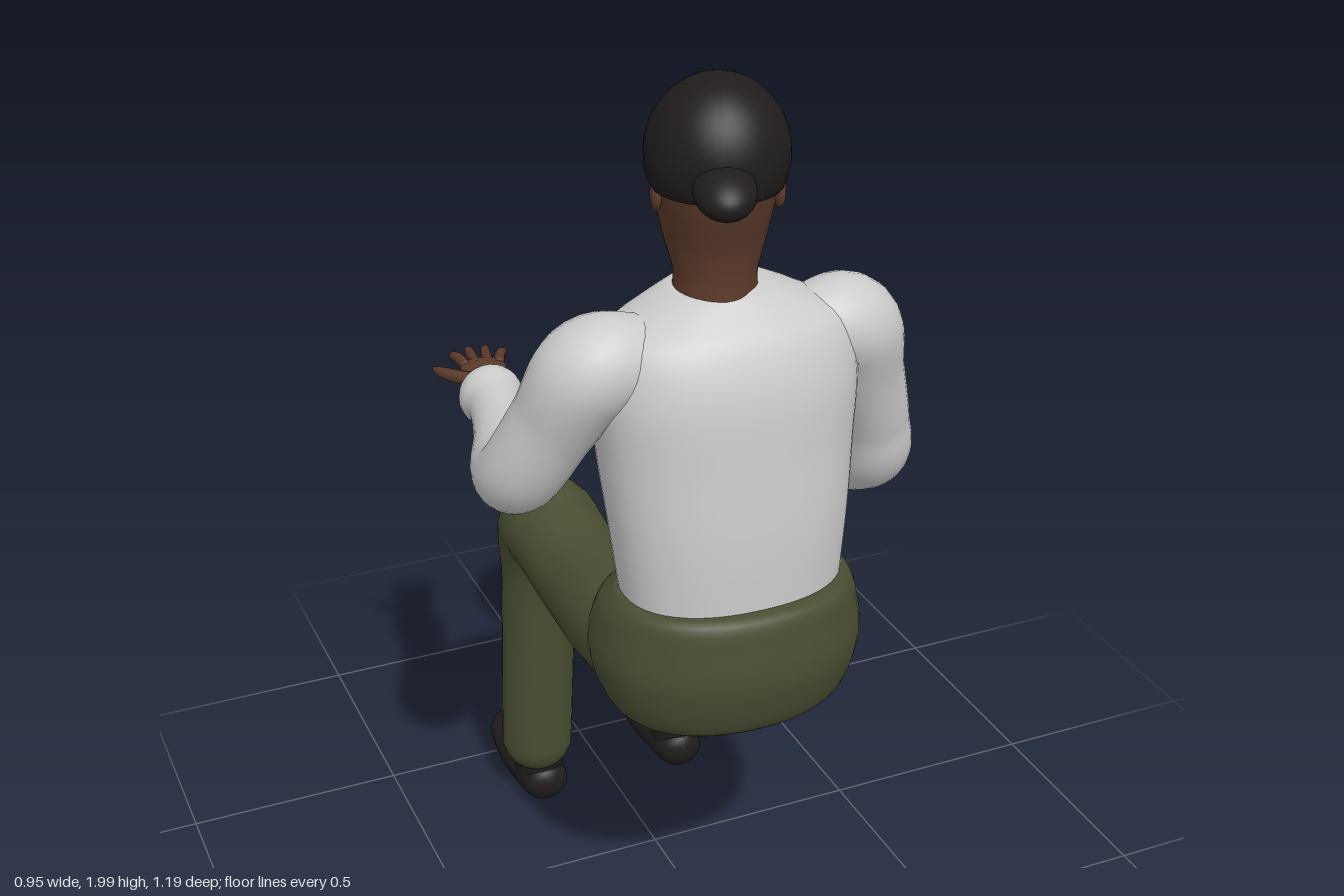
import * as THREE from 'three';

const mat = (color) => new THREE.MeshStandardMaterial({ color });
const V = (x, y, z) => new THREE.Vector3(x, y, z);
const AXES = { y: [V(0, 0, 1), V(1, 0, 0)], z: [V(0, 1, 0), V(1, 0, 0)] };

// Smooth body through sections [x, y, z, ru, rv]; rings follow the path,
// or stay level ('y') or upright ('z') when an axis is given.
function loft(sections, axis, steps = 40, sides = 28, square = 1) {
  const spline = (pts) => new THREE.CatmullRomCurve3(pts, false, 'catmullrom', 0.5);
  const path = spline(sections.map((s) => V(s[0], s[1], s[2])));
  const radii = spline(sections.map((s) => V(s[3], s[4] ?? s[3], 0)));
  const frames = path.computeFrenetFrames(steps, false);
  const pos = [], idx = [];
  const bend = (c) => Math.sign(c) * Math.pow(Math.abs(c), square);
  const ring = (i, k) => {
    const c = path.getPointAt(i / steps);
    const r = radii.getPoint(path.getUtoTmapping(i / steps));
    const [u, v] = axis ? AXES[axis] : [frames.normals[i], frames.binormals[i]];
    for (let j = 0; j < sides; j++) {
      const a = (j / sides) * Math.PI * 2;
      const p = c.clone().addScaledVector(u, bend(Math.cos(a)) * r.x * k).addScaledVector(v, bend(Math.sin(a)) * r.y * k);
      pos.push(p.x, p.y, p.z);
    }
  };
  ring(0, 0.001);
  for (let i = 0; i <= steps; i++) ring(i, 1);
  ring(steps, 0.001);
  for (let i = 0; i < steps + 2; i++) {
    for (let j = 0; j < sides; j++) {
      const a = i * sides + j, b = i * sides + ((j + 1) % sides);
      idx.push(a, b, a + sides, b, b + sides, a + sides);
    }
  }
  const g = new THREE.BufferGeometry();
  g.setAttribute('position', new THREE.Float32BufferAttribute(pos, 3));
  g.setIndex(idx);
  g.computeVertexNormals();
  return g;
}

function add(parent, name, geometry, material) {
  const m = new THREE.Mesh(geometry, material);
  m.name = name;
  parent.add(m);
  return m;
}

function ellipsoid(parent, name, material, [x, y, z], [rx, ry, rz]) {
  const m = add(parent, name, new THREE.SphereGeometry(1, 28, 20), material);
  m.position.set(x, y, z);
  m.scale.set(rx, ry, rz);
  return m;
}

// Flat open hand pointing along -z; side is the thumb's direction in x
function makeHand(name, side, skin) {
  const hand = new THREE.Group();
  hand.name = name;
  add(hand, 'palm', loft([
    [0, 0, 0.04, 0.024, 0.03], [0, 0, -0.01, 0.02, 0.032], [0, 0, -0.06, 0.017, 0.046],
    [0, 0, -0.11, 0.014, 0.052], [0, 0, -0.145, 0.01, 0.046],
  ], 'z', 16, 18), skin);
  for (let i = 0; i < 4; i++) {
    const s = i - 1.5;
    const tip = -0.235 + 0.012 * s * s;
    add(hand, 'finger', loft([
      [s * 0.024, 0, -0.12, 0.013], [s * 0.032, -0.002, -0.18, 0.012],
      [s * 0.038, -0.004, tip + 0.01, 0.01], [s * 0.039, -0.004, tip, 0.004],
    ], null, 10, 10), skin);
  }
  add(hand, 'thumb', loft([
    [side * 0.02, 0, -0.04, 0.016], [side * 0.065, 0, -0.075, 0.015],
    [side * 0.095, 0, -0.105, 0.012], [side * 0.108, 0, -0.125, 0.005],
  ], null, 12, 10), skin);
  hand.rotation.order = 'YXZ';
  return hand;
}

// Hair cap with a hairline that rises over the forehead (-z)
function hairCap() {
  const rows = 24;
  const g = new THREE.SphereGeometry(1, 48, rows);
  const p = g.attributes.position, uv = g.attributes.uv;
  for (let i = 0; i < p.count; i++) {
    const phi = uv.getX(i) * Math.PI * 2;
    const row = Math.floor(i / 49);
    const front = -Math.cos(phi);
    const limit = 2.0 - 0.95 * THREE.MathUtils.smoothstep(front, 0.1, 0.95);
    const theta = limit * Math.min(1, row / (rows - 1));
    const k = row === rows ? 0.8 : 1; // last row tucks the rim under
    p.setXYZ(i, 0.14 * k * Math.sin(theta) * Math.sin(phi), 0.15 * Math.cos(theta), 0.143 * k * Math.sin(theta) * Math.cos(phi));
  }
  g.computeVertexNormals();
  return g;
}

export function createModel() {
  const model = new THREE.Group();
  model.name = 'seatedFigure';
  const shirt = mat(0xcccccc), skin = mat(0x5c3a2a), pants = mat(0x4a4e32), black = mat(0x1f1c1b);
  const hair = black.clone();
  hair.side = THREE.DoubleSide;

  // Torso and hips: [x, y, z, depth, width]
  add(model, 'torso', loft([
    [0, 0.92, 0.385, 0.16, 0.23], [0, 1.1, 0.37, 0.175, 0.25], [0, 1.25, 0.35, 0.185, 0.265],
    [0, 1.4, 0.34, 0.182, 0.275], [0, 1.5, 0.337, 0.15, 0.25], [0, 1.55, 0.325, 0.115, 0.17],
    [0, 1.585, 0.315, 0.085, 0.09],
  ], 'y', 48, 48, 0.88), shirt);
  add(model, 'hips', loft([
    [0, 0.655, 0.38, 0.12, 0.17], [0, 0.69, 0.37, 0.19, 0.25], [0, 0.8, 0.36, 0.235, 0.288],
    [0, 0.9, 0.37, 0.217, 0.275], [0, 0.945, 0.39, 0.187, 0.255], [0, 0.96, 0.39, 0.17, 0.24],
  ], 'y', 32, 48, 0.92), pants);

  // Sleeves run from inside the chest over the shoulder to the wrist
  add(model, 'leftSleeve', loft([
    [0, 1.47, 0.34, 0.07], [0.17, 1.455, 0.34, 0.09], [0.275, 1.447, 0.335, 0.105],
    [0.325, 1.33, 0.31, 0.09], [0.372, 1.2, 0.285, 0.078], [0.39, 1.1, 0.25, 0.08],
    [0.36, 1.02, 0.12, 0.065], [0.325, 0.95, 0, 0.06], [0.305, 0.915, -0.05, 0.069], [0.295, 0.893, -0.095, 0.045],
  ], null, 80), shirt);
  add(model, 'rightSleeve', loft([
    [0, 1.47, 0.34, 0.07], [-0.17, 1.455, 0.34, 0.09], [-0.28, 1.447, 0.335, 0.105],
    [-0.34, 1.33, 0.29, 0.09], [-0.392, 1.2, 0.225, 0.085], [-0.39, 1.165, 0.13, 0.072],
    [-0.35, 1.165, 0, 0.06], [-0.318, 1.17, -0.12, 0.06], [-0.31, 1.172, -0.185, 0.07], [-0.305, 1.172, -0.235, 0.045],
  ], null, 80), shirt);

  const leftHand = makeHand('leftHand', 1, skin);
  leftHand.position.set(0.285, 0.895, -0.08);
  leftHand.rotation.set(-0.62, 0.1, 0);
  const rightHand = makeHand('rightHand', -1, skin);
  rightHand.position.set(-0.3, 1.175, -0.215);
  rightHand.rotation.set(-0.02, -0.2, 0);
  model.add(leftHand, rightHand);

  // Legs, ankles and shoes
  for (const [s, side] of [[1, 'left'], [-1, 'right']]) {
    add(model, side + 'Leg', loft([
      [s * 0.15, 0.8, 0.36, 0.12], [s * 0.165, 0.785, 0.2, 0.118], [s * 0.165, 0.775, 0, 0.109],
      [s * 0.165, 0.79, -0.15, 0.11], [s * 0.167, 0.798, -0.225, 0.113], [s * 0.17, 0.75, -0.262, 0.106],
      [s * 0.174, 0.65, -0.278, 0.091], [s * 0.178, 0.5, -0.288, 0.087], [s * 0.184, 0.2, -0.302, 0.085],
      [s * 0.185, 0.15, -0.304, 0.082], [s * 0.185, 0.115, -0.306, 0.064],
    ], null, 90), pants);
    const ankle = add(model, side + 'Ankle', new THREE.CylinderGeometry(0.06, 0.058, 0.09, 24), black);
    ankle.position.set(s * 0.182, 0.095, -0.3);
    add(model, side + 'Shoe', loft([
      [s * 0.18, 0.065, -0.228, 0.022, 0.022], [s * 0.18, 0.062, -0.25, 0.047, 0.052],
      [s * 0.18, 0.06, -0.32, 0.052, 0.062], [s * 0.178, 0.056, -0.42, 0.046, 0.066],
      [s * 0.176, 0.052, -0.52, 0.036, 0.054], [s * 0.175, 0.05, -0.57, 0.025, 0.035],
      [s * 0.175, 0.05, -0.593, 0.009, 0.014],
    ], 'z'), black);
  }

  // Head, turned slightly to the side
  const head = new THREE.Group();
  head.name = 'head';
  head.position.set(-0.015, 0, 0.325);
  head.rotation.y = -0.33;
  model.add(head);
  add(head, 'faceAndNeck', loft([
    [0, 1.53, 0, 0.09, 0.09], [0, 1.6, 0, 0.085, 0.082], [0, 1.64, -0.01, 0.097, 0.09],
    [0, 1.68, -0.024, 0.118, 0.102], [0, 1.76, -0.02, 0.14, 0.118], [0, 1.82, -0.008, 0.138, 0.122],
    [0, 1.9, 0.002, 0.122, 0.112], [0, 1.95, 0.005, 0.09, 0.085], [0, 1.98, 0.005, 0.04, 0.04],
  ], 'y', 48, 36), skin);
  ellipsoid(head, 'nose', skin, [0, 1.765, -0.155], [0.017, 0.028, 0.018]);
  for (const s of [1, -1]) ellipsoid(head, 'ear', skin, [s * 0.117, 1.775, 0.03], [0.012, 0.032, 0.022]);
  add(head, 'hair', hairCap(), hair).position.set(0, 1.85, 0.008);
  const bun = ellipsoid(head, 'hairBun', black, [0, 1.822, 0.15], [0.06, 0.044, 0.078]);
  bun.rotation.x = 0.25;

  return model;
}
